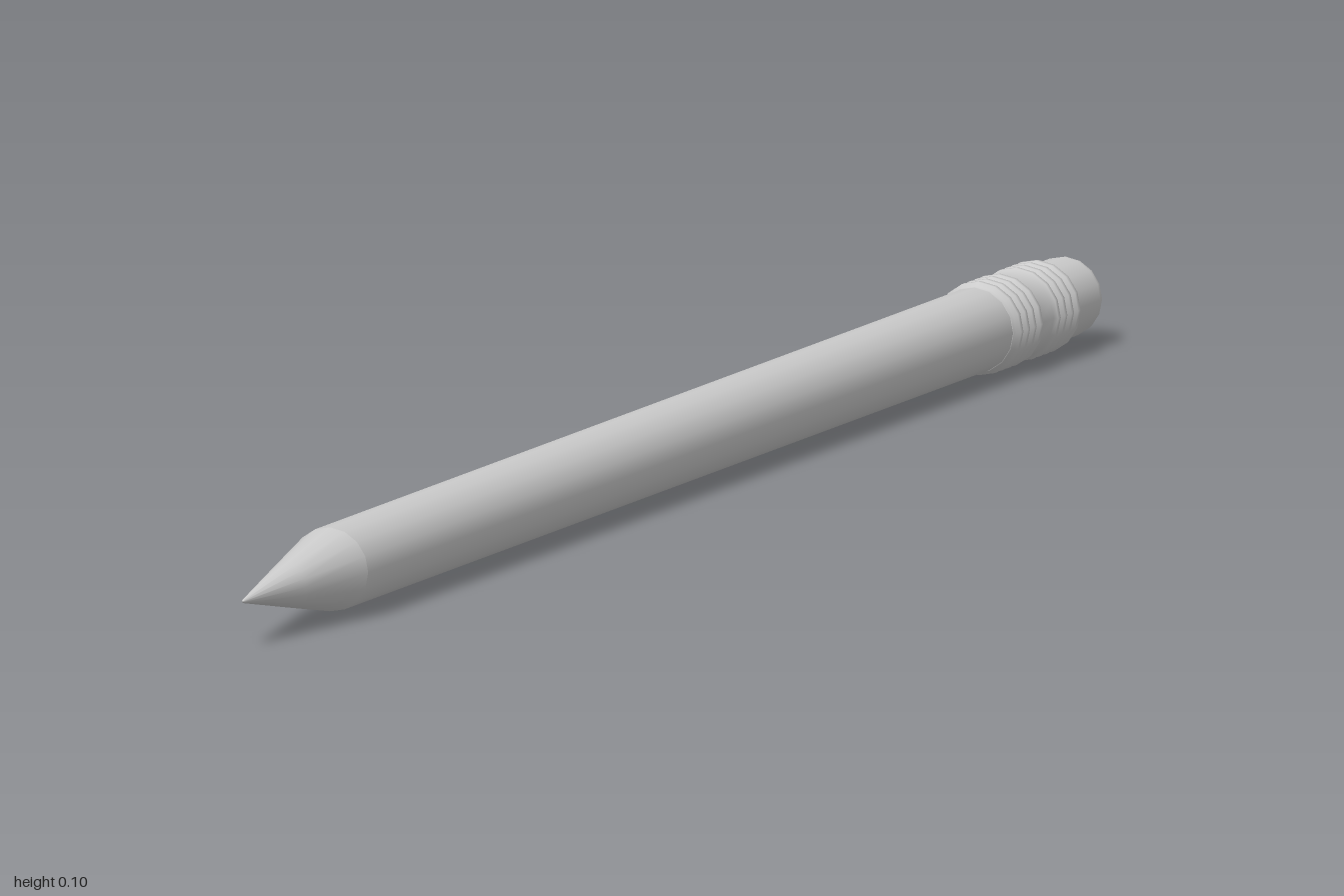
import * as THREE from 'three';

const SIDES = 16;
const AXIS_Y = 0.05;

export function createModel() {
  const group = new THREE.Group();
  const material = new THREE.MeshStandardMaterial({ color: 0xcccccc, side: THREE.DoubleSide });

  // Turned part along z; profile is a list of [radius, z] from back to front
  function turned(name, profile) {
    const points = profile.map(([r, z]) => new THREE.Vector2(r, z));
    const geometry = new THREE.LatheGeometry(points, SIDES);
    geometry.rotateX(Math.PI / 2);
    const mesh = new THREE.Mesh(geometry, material);
    mesh.name = name;
    mesh.position.y = AXIS_Y;
    group.add(mesh);
  }

  // Shaft and sharpened cone
  turned('shaft', [[0, -0.79], [0.045, -0.79], [0.045, 0.79]]);
  turned('sharpenedTip', [[0.045, 0.79], [0.0235, 0.895], [0.002, 0.998], [0, 1]]);

  // Eraser with a rounded end
  const eraser = [[0, -1]];
  for (let i = 0; i <= 5; i++) {
    const a = (i / 5) * Math.PI / 2;
    eraser.push([0.024 + 0.019 * Math.sin(a), -0.981 - 0.019 * Math.cos(a)]);
  }
  eraser.push([0.043, -0.9]);
  turned('eraser', eraser);

  // Metal sleeve: two bands of fine ridges with a plain stretch between
  const sleeve = [[0.043, -0.925], [0.046, -0.925]];
  for (const start of [-0.922, -0.832]) {
    for (let i = 0; i < 4; i++) {
      const z = start + i * 0.016;
      sleeve.push([0.046, z], [0.05, z + 0.003], [0.05, z + 0.009], [0.046, z + 0.012]);
    }
  }
  sleeve.push([0.046, -0.766], [0.044, -0.766]);
  turned('ferrule', sleeve);

  return group;
}
